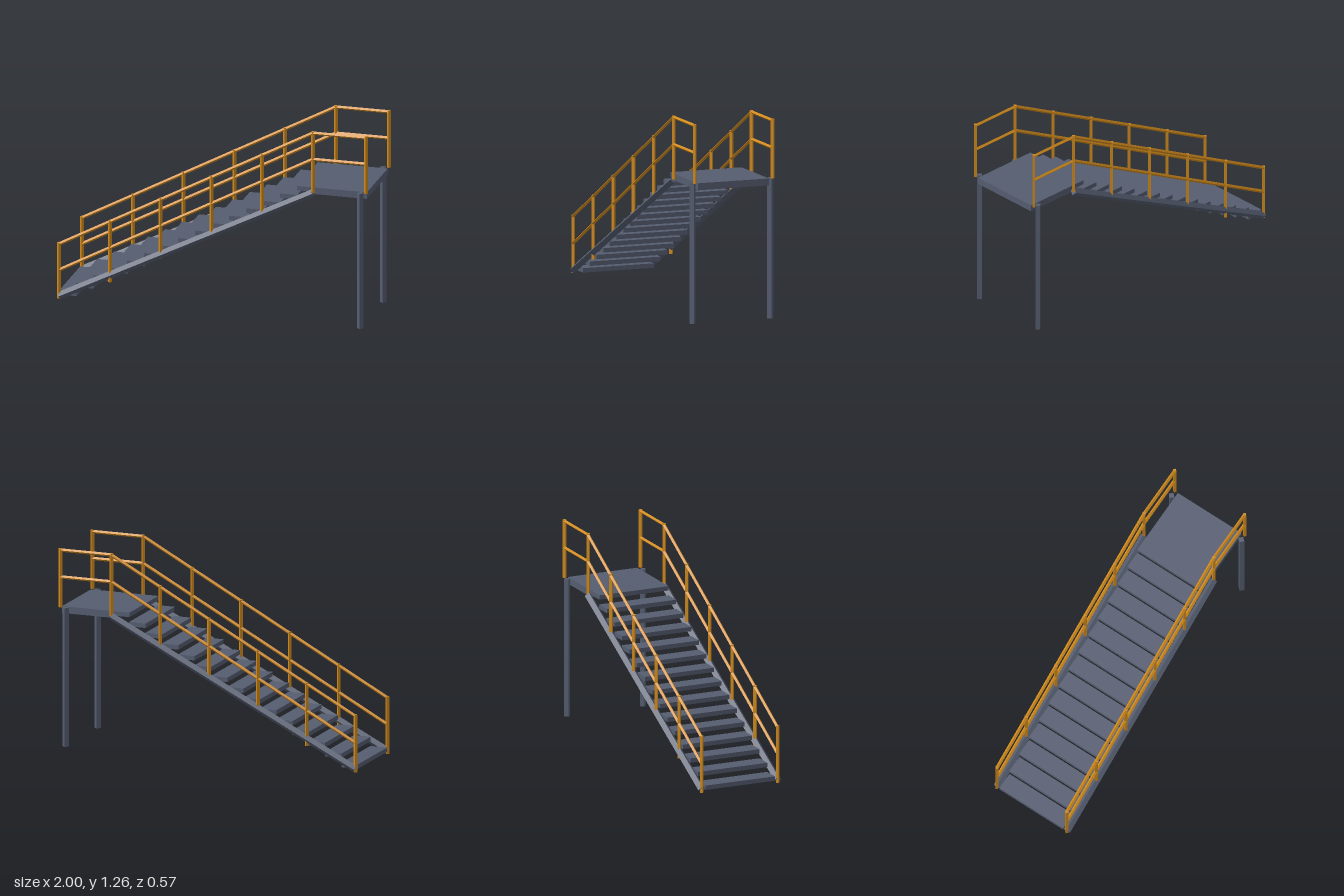
import * as THREE from 'three';

export function createModel() {
  const model = new THREE.Group();
  model.name = 'staircase';

  const steel = new THREE.MeshStandardMaterial({ color: 0x555d70, flatShading: true });
  steel.name = 'slate steel';
  const paint = new THREE.MeshStandardMaterial({ color: 0xd08a1c, flatShading: true });
  paint.name = 'safety orange';

  function add(name, geometry, material, x, y, z) {
    const mesh = new THREE.Mesh(geometry, material);
    mesh.name = name;
    mesh.position.set(x, y, z);
    model.add(mesh);
    return mesh;
  }

  // Four-sided bar between two points in a plane of constant z, edges facing outwards
  function bar(name, [x0, y0], [x1, y1], z, radius, material) {
    const length = Math.hypot(x1 - x0, y1 - y0);
    const geometry = new THREE.CylinderGeometry(radius, radius, length, 4);
    const mesh = add(name, geometry, material, (x0 + x1) / 2, (y0 + y1) / 2, z);
    mesh.rotation.z = Math.atan2(y1 - y0, x1 - x0) - Math.PI / 2;
  }

  const bottomX = -0.985, topX = 0.645, endX = 0.985;
  const width = 0.474, sideZ = 0.26;

  // Treads, the last one level with the landing
  const run = 0.109, rise = 0.0588;
  for (let i = 0; i < 15; i++) {
    add('tread', new THREE.BoxGeometry(run + 0.002, 0.028, width), steel,
      -0.99 + run * (i + 0.5), 0.045 + rise * i, 0);
  }

  // Landing
  add('landing', new THREE.BoxGeometry(endX - topX, 0.043, width), steel,
    (topX + endX) / 2, 0.861, 0);

  const stringerY = (x) => 0.033 + (x - bottomX) / (topX - bottomX) * 0.822;

  for (const z of [-sideZ, sideZ]) {
    // Sloping side beam and landing leg
    bar('stringer', [bottomX, stringerY(bottomX)], [topX, stringerY(topX)], z, 0.024, steel);
    bar('landingLeg', [0.95, 0], [0.95, 0.882], z, 0.021, steel);

    // Handrail and middle rail, sloping and then level
    for (const [name, low, high] of [['handrail', 0.37, 1.245], ['middleRail', 0.2, 1.074]]) {
      bar(name, [bottomX, low], [topX, high], z, 0.011, paint);
      bar(name, [topX, high], [endX, high], z, 0.011, paint);
    }

    // Railing posts
    for (let i = 0; i < 6; i++) {
      const x = bottomX + (topX - bottomX) * i / 5;
      const base = i === 0 ? 0.015 : i === 1 ? 0.152 : stringerY(x);
      bar('railPost', [x, base], [x, 0.38 + 0.175 * i], z, 0.0125, paint);
    }
    bar('railPost', [endX, 0.882], [endX, 1.255], z, 0.0125, paint);
  }

  return model;
}
